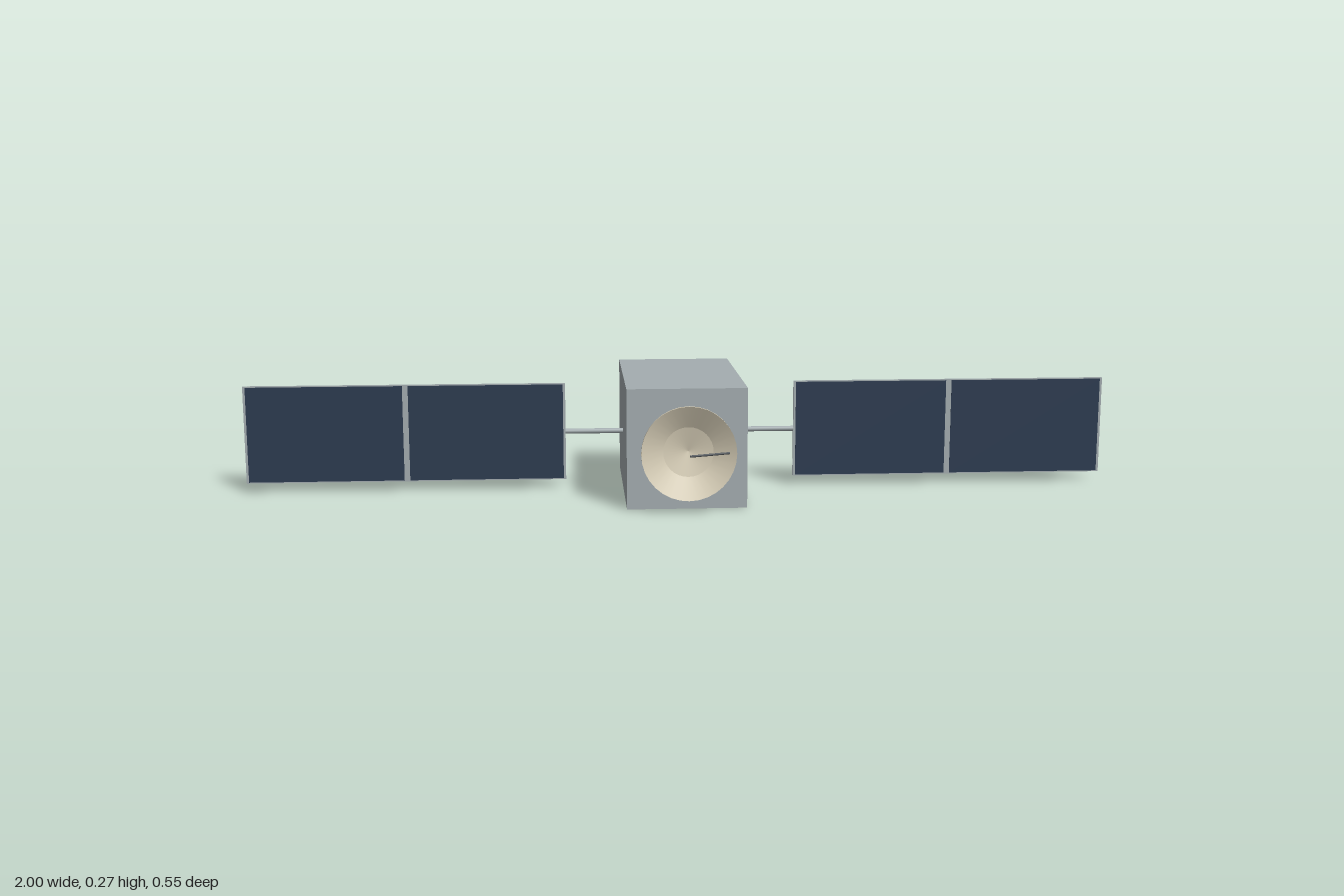
import * as THREE from 'three';

export function createModel() {
  const model = new THREE.Group();
  model.name = 'satellite';
  const paint = (name, color, side = THREE.FrontSide) =>
    new THREE.MeshStandardMaterial({ name, color, side });
  const hull = paint('hull grey', 0xa4adb0);
  const cell = paint('solar navy', 0x2c3b50);
  const cream = paint('dish cream', 0xd8cfb8, THREE.DoubleSide);
  const dark = paint('strut grey', 0x50555a);

  const add = (parent, name, geometry, material, x = 0, y = 0, z = 0) => {
    const mesh = new THREE.Mesh(geometry, material);
    mesh.name = name;
    mesh.position.set(x, y, z);
    parent.add(mesh);
    return mesh;
  };
  // Straight round bar between two points
  const bar = (parent, name, a, b, radius, material) => {
    const d = b.clone().sub(a);
    const mesh = add(parent, name, new THREE.CylinderGeometry(radius, radius, d.length(), 12), material);
    mesh.position.copy(a).add(b).multiplyScalar(0.5);
    mesh.quaternion.setFromUnitVectors(new THREE.Vector3(0, 1, 0), d.normalize());
  };

  const midY = 0.134, wingZ = -0.0435;

  // Main box
  add(model, 'body', new THREE.BoxGeometry(0.266, 0.268, 0.468), hull, 0, midY, -0.043);

  // Solar wings: boom, backing panel and two cell plates on the front
  for (const side of [1, -1]) {
    const wing = new THREE.Group();
    wing.name = side > 0 ? 'leftWing' : 'rightWing';
    model.add(wing);
    bar(wing, 'boom', new THREE.Vector3(side * 0.12, midY, wingZ),
      new THREE.Vector3(side * 0.266, midY, wingZ), 0.006, hull);
    add(wing, 'panel', new THREE.BoxGeometry(0.734, 0.226, 0.007), hull, side * 0.633, midY, wingZ);
    for (const x of [0.449, 0.817]) {
      add(wing, 'solarCells', new THREE.BoxGeometry(0.355, 0.221, 0.001), cell,
        side * x, midY, wingZ + 0.0038);
    }
  }

  // Dish: straight outer cone, narrow rim and two-step hollow
  const dish = new THREE.Group();
  dish.name = 'dish';
  dish.position.y = midY;
  model.add(dish);
  const lathe = (name, points) => {
    const g = new THREE.LatheGeometry(points.map(([r, z]) => new THREE.Vector2(r, z)), 32);
    add(dish, name, g.rotateX(Math.PI / 2), cream);
  };
  lathe('dishBack', [[0, 0.197], [0.104, 0.243]]);
  lathe('dishRim', [[0.104, 0.243], [0.104, 0.25]]);
  lathe('dishBowl', [[0.104, 0.25], [0.055, 0.226]]);
  lathe('dishCentre', [[0.055, 0.226], [0, 0.214]]);

  // Feed strut from the dish edge to the focus
  bar(dish, 'feedStrut', new THREE.Vector3(0.088, 0, 0.243),
    new THREE.Vector3(0, 0, 0.275), 0.0025, dark);

  return model;
}
